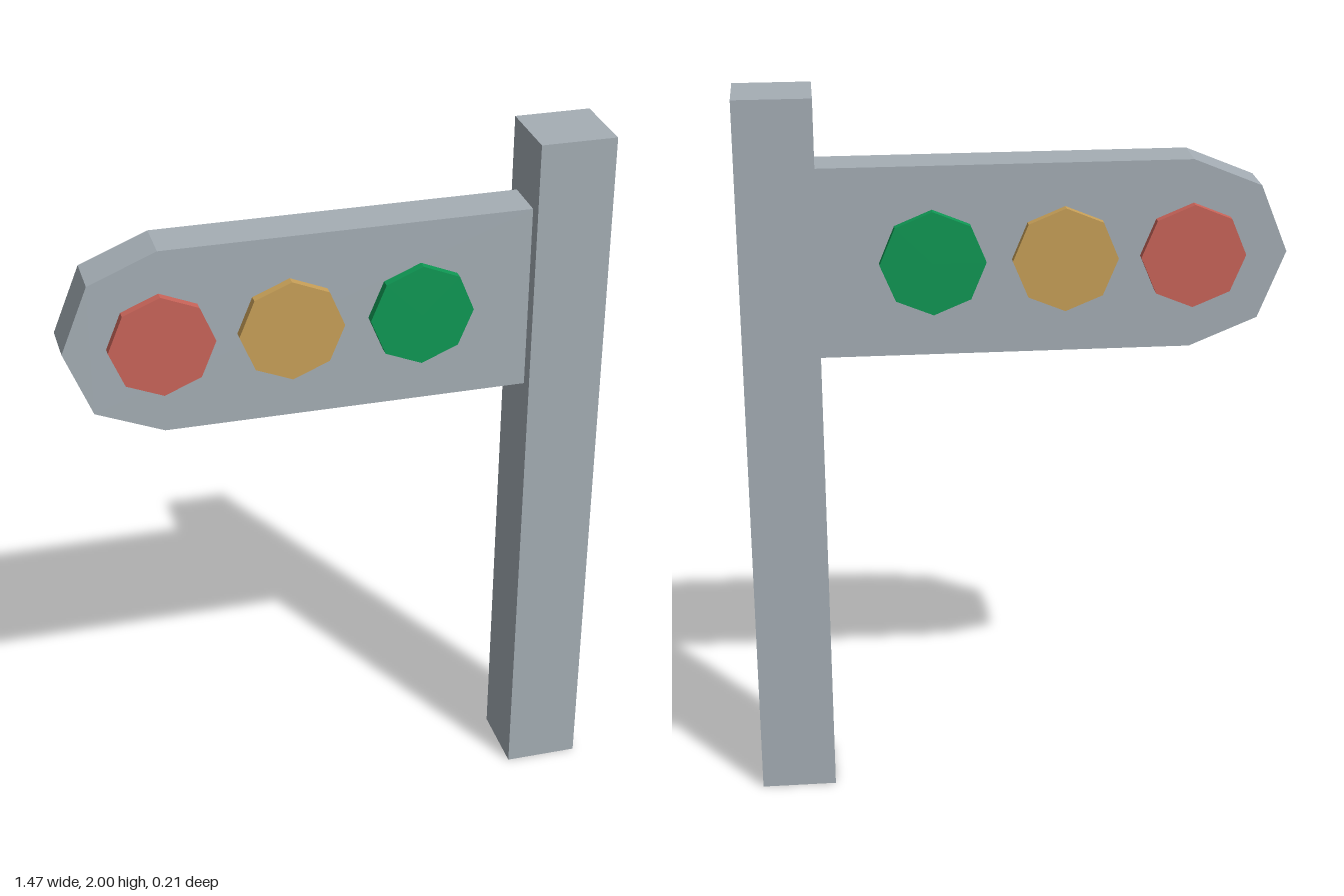
import * as THREE from 'three';

const mat = (name, color, side = THREE.FrontSide) =>
  Object.assign(new THREE.MeshStandardMaterial({ color, side }), { name });

function addMesh(group, name, geometry, material, x = 0, y = 0, z = 0) {
  const mesh = new THREE.Mesh(geometry, material);
  mesh.name = name;
  mesh.position.set(x, y, z);
  group.add(mesh);
  return mesh;
}

export function createModel() {
  const group = new THREE.Group();
  group.name = 'signalPost';
  const grey = mat('grey metal', 0xa5aeb5, THREE.DoubleSide);
  const signalY = 1.547;

  // Hollow square post, open at the foot (box face group 3 is the underside)
  const postGeometry = new THREE.BoxGeometry(0.208, 2, 0.208);
  const index = Array.from(postGeometry.index.array);
  index.splice(18, 6);
  postGeometry.setIndex(index);
  postGeometry.clearGroups();
  addMesh(group, 'post', postGeometry, grey, 0.63, 1, 0);

  // Signal arm with a faceted round end
  const half = [[0.526, 0.26], [-0.475, 0.26], [-0.66, 0.184]];
  const outline = [
    ...half,
    [-0.734, 0],
    ...half.map(([x, y]) => [x, -y]).reverse(),
  ].map(([x, y]) => new THREE.Vector2(x, y));
  const armGeometry = new THREE.ExtrudeGeometry(new THREE.Shape(outline), { depth: 0.13, bevelEnabled: false });
  addMesh(group, 'signalArm', armGeometry, grey, 0, signalY, -0.065);

  // Octagonal lamps passing through the arm, showing on both sides
  const lampGeometry = new THREE.CylinderGeometry(0.142, 0.142, 0.18, 8).toNonIndexed();
  lampGeometry.rotateX(Math.PI / 2);
  lampGeometry.computeVertexNormals();
  const lamps = [
    ['redLamp', 'red', 0xc96459, -0.477],
    ['amberLamp', 'amber', 0xc8a058, -0.132],
    ['greenLamp', 'green', 0x0f9854, 0.222],
  ];
  for (const [name, colorName, color, x] of lamps) {
    addMesh(group, name, lampGeometry, mat(colorName, color), x, signalY, 0);
  }
  return group;
}
